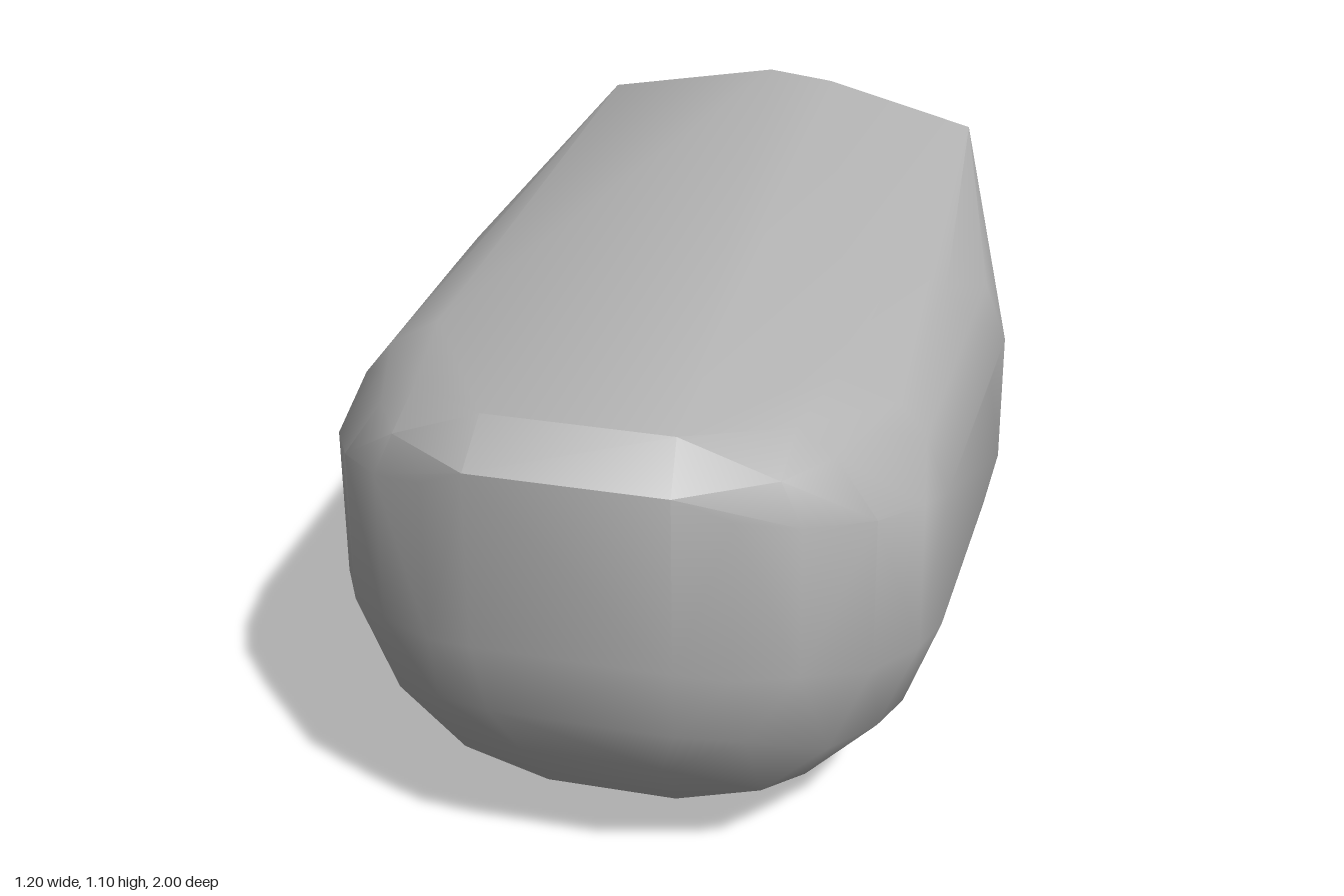
import * as THREE from 'three';
import { ConvexGeometry } from 'three/addons/geometries/ConvexGeometry.js';
import { toCreasedNormals } from 'three/addons/utils/BufferGeometryUtils.js';

// Half cross-sections [x, y] at each z, mirrored to both sides
const SECTIONS = [
  // start of the straight side walls
  { z: -0.2, half: [[0.6, 0.75], [0.6, 0.47], [0.555, 0.87]] },
  // full belly
  { z: 0.0, half: [[0.6, 0.75], [0.6, 0.46], [0.53, 0.27], [0.39, 0.14], [0.555, 0.88], [0.5, 0.95]] },
  { z: 0.52, half: [[0.6, 0.77], [0.6, 0.48], [0.53, 0.29], [0.39, 0.14], [0.17, 0.04], [0.555, 0.88], [0.5, 0.95], [0.4, 1.01]] },
  // rounded nose
  { z: 0.63, half: [[0.575, 0.8], [0.575, 0.49], [0.5, 0.3], [0.36, 0.16], [0.17, 0.075], [0.48, 0.94]] },
  { z: 0.76, half: [[0.51, 0.83], [0.51, 0.51], [0.43, 0.32], [0.3, 0.2], [0.13, 0.15], [0.43, 0.95], [0.36, 1.0]] },
  { z: 0.89, half: [[0.4, 0.87], [0.4, 0.56], [0.3, 0.4], [0.14, 0.31], [0.36, 0.96]] },
  { z: 0.95, half: [[0.29, 0.9], [0.29, 0.57], [0.18, 0.43]] },
  { z: 1.0, half: [[0.19, 0.96], [0.19, 0.6]] },
  // front lip of the top
  { z: 0.92, half: [[0.18, 1.04]] },
];

// Tail wall profile [z, y], swept straight across x
const TAIL = [[-0.97, 0.66], [-1.0, 0.51], [-0.955, 0.38], [-0.73, 0.14]];

// Slightly uneven roof ridge and keel
const SINGLES = [
  [-0.04, 1.1, -0.75], [0.1, 1.085, -0.75],
  [-0.41, 1.025, -0.76], [0.42, 1.0, -0.76],
  [-0.07, 0.0, 0.0], [0.16, 0.03, 0.1],
];

export function createModel() {
  const points = SINGLES.map((p) => new THREE.Vector3(...p));
  for (const side of [-1, 1]) {
    for (const { z, half } of SECTIONS) {
      for (const [x, y] of half) points.push(new THREE.Vector3(side * x, y, z));
    }
    for (const [z, y] of TAIL) points.push(new THREE.Vector3(side * 0.415, y, z));
  }

  const grey = new THREE.MeshStandardMaterial({ color: 0xb4b4b4 });
  grey.name = 'grey';

  // Smooth over the rounded parts, sharp around the tail wall
  const body = new THREE.Mesh(toCreasedNormals(new ConvexGeometry(points), 0.6), grey);
  body.name = 'body';

  const model = new THREE.Group();
  model.name = 'roundedHull';
  model.add(body);
  return model;
}
